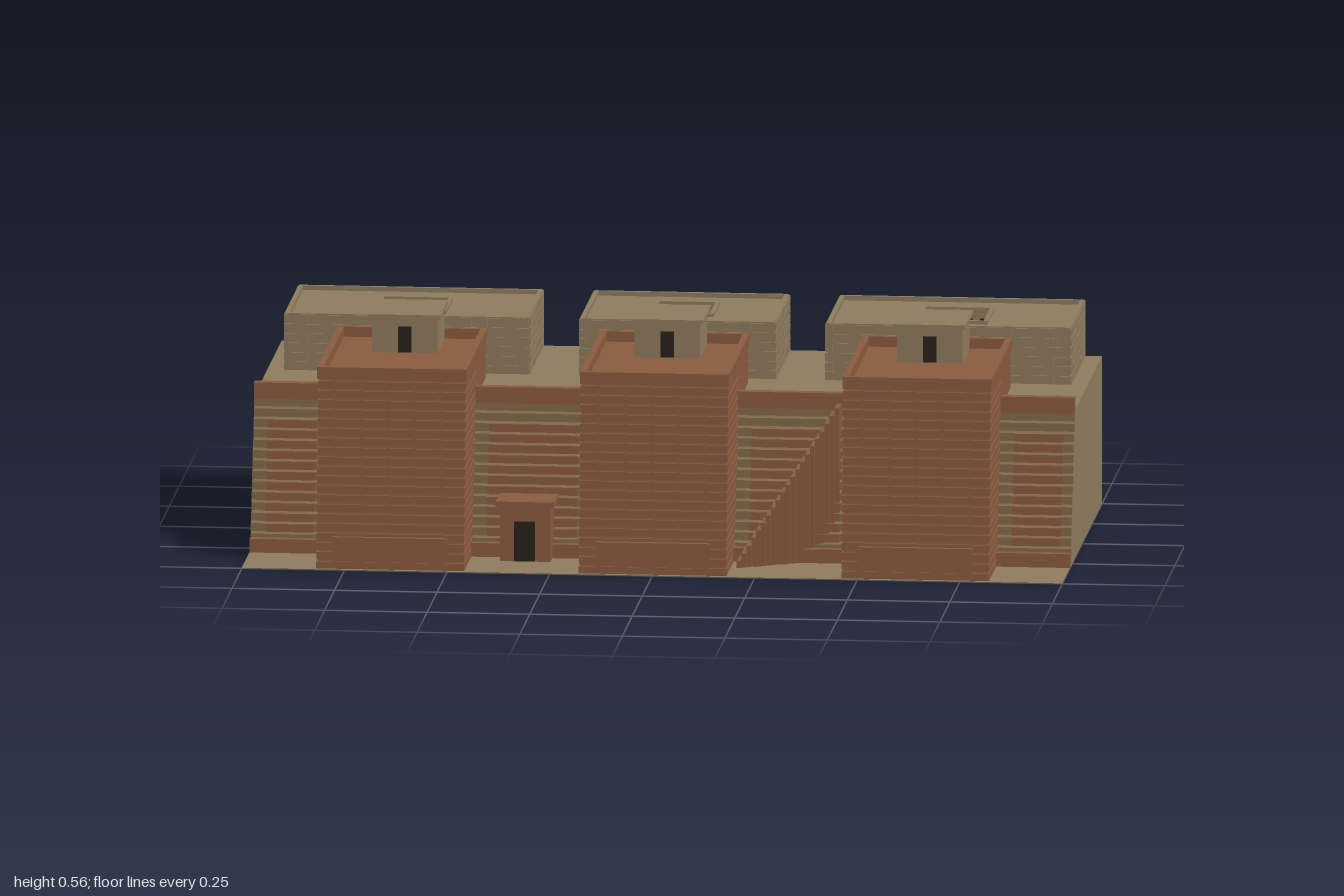
import * as THREE from 'three';
import { mergeGeometries } from 'three/addons/utils/BufferGeometryUtils.js';

const BROWN = 0x8a5b3f, TAN = 0x8e7b5e, MUD = 0x86694a, DARK = 0x2a2119;
const TERRACE = 0.365;
const TOWER_X = [-0.64, 0, 0.64];
const slopeZ = (y) => 0.29 - 0.11 * y / TERRACE;   // hillside front
const towerZ = (y) => 0.49 - 0.05 * y / 0.46;      // battered tower front

function mesh(name, geometry, color, double = false) {
  const material = new THREE.MeshStandardMaterial({ color });
  if (double) material.side = THREE.DoubleSide;
  const m = new THREE.Mesh(geometry, material);
  m.name = name;
  return m;
}

// One mesh from many [x0, x1, y0, y1, z0, z1] boxes
function boxes(name, color, list) {
  return mesh(name, mergeGeometries(list.map(([x0, x1, y0, y1, z0, z1]) =>
    new THREE.BoxGeometry(x1 - x0, y1 - y0, z1 - z0)
      .translate((x0 + x1) / 2, (y0 + y1) / 2, (z0 + z1) / 2))), color);
}

// Box without a floor whose front leans back from zBottom to zTop
function leaningShell(name, color, x0, x1, h, back, zBottom, zTop) {
  const g = new THREE.BoxGeometry(x1 - x0, h, 1).translate((x0 + x1) / 2, h / 2, 0);
  const p = g.attributes.position;
  for (let i = 0; i < p.count; i++)
    p.setZ(i, p.getZ(i) < 0 ? back : p.getY(i) > h / 2 ? zTop : zBottom);
  const index = Array.from(g.index.array);
  index.splice(18, 6);
  g.setIndex(index);
  g.clearGroups();
  g.computeVertexNormals();
  return mesh(name, g, color, true);
}

// Four walls around a rectangle
function ring(x0, x1, y0, y1, z0, z1, t) {
  return [[x0, x1, y0, y1, z0, z0 + t], [x0, x1, y0, y1, z1 - t, z1],
    [x0, x0 + t, y0, y1, z0 + t, z1 - t], [x1 - t, x1, y0, y1, z0 + t, z1 - t]];
}

function createTower() {
  const g = new THREE.Group();
  g.name = 'tower';
  g.add(leaningShell('towerBody', BROWN, -0.177, 0.177, 0.465, -0.08, 0.485, 0.435));
  // Log courses on the front and on the sides ahead of the hillside
  const n = 20, pitch = 0.46 / n, courses = [];
  for (let i = 0; i < n; i++) {
    const y0 = i * pitch, y1 = y0 + pitch * 0.8, f = towerZ(y0 + pitch / 2), b = slopeZ(y0);
    courses.push([-0.18, 0.18, y0, y1, f - 0.012, f]);
    for (const s of [-1, 1])
      courses.push([Math.min(s * 0.176, s * 0.18), Math.max(s * 0.176, s * 0.18), y0, y1, b, f - 0.012]);
  }
  g.add(boxes('logCourses', BROWN, courses));
  g.add(boxes('towerParapet', BROWN, ring(-0.182, 0.182, 0.46, 0.49, -0.08, 0.442, 0.016)));
  g.add(boxes('basePanel', BROWN, [[-0.14, 0.14, 0.02, 0.08, 0.475, 0.494]]));
  // Small house on the roof
  g.add(boxes('roofHouse', TAN, [[-0.08, 0.08, 0.46, 0.55, -0.058, 0.12]]));
  g.add(boxes('roofHouseSlab', TAN, [[-0.088, 0.088, 0.55, 0.56, -0.066, 0.128]]));
  g.add(boxes('roofHouseDoor', DARK, [[-0.016, 0.016, 0.466, 0.53, 0.118, 0.124]]));
  return g;
}

function createCourtHouse(cx, halfWidth, courtZ, courtHalf, doorX) {
  const g = new THREE.Group();
  g.name = 'courtHouse';
  const x0 = cx - halfWidth, x1 = cx + halfWidth, z0 = -0.5, z1 = -0.14, e = 0.003;
  g.add(boxes('houseWalls', TAN, ring(x0 + e, x1 - e, TERRACE, 0.505, z0 + e, z1 - e, 0.01)));

  // Staggered brick facing
  const rows = 6, rowH = 0.14 / rows, bricks = [];
  for (let r = 0; r < rows; r++) {
    const y0 = TERRACE + r * rowH, y1 = y0 + rowH - 0.003;
    const run = (a, b, add) => {
      const n = Math.round((b - a) / 0.04), w = (b - a) / n;
      for (let i = 0; i <= n; i++) {
        const s = Math.max(a, a + (i - (r % 2) / 2) * w), t = Math.min(b, a + (i + 1 - (r % 2) / 2) * w);
        if (t - s > 0.005) add(s, t - 0.003);
      }
    };
    run(x0, x1, (s, t) => bricks.push([s, t, y0, y1, z0, z0 + 0.005], [s, t, y0, y1, z1 - 0.005, z1]));
    run(z0, z1, (s, t) => bricks.push([x0, x0 + 0.005, y0, y1, s, t], [x1 - 0.005, x1, y0, y1, s, t]));
  }
  g.add(boxes('bricks', TAN, bricks));

  // Roof with a square light court
  const rect = (Type, a, b, c, d) => {
    const s = new Type();
    s.moveTo(a, c); s.lineTo(b, c); s.lineTo(b, d); s.lineTo(a, d); s.closePath();
    return s;
  };
  const h = courtHalf - 0.01;
  const roof = rect(THREE.Shape, x0 + 0.008, x1 - 0.008, -z1 + 0.008, -z0 - 0.008);
  roof.holes.push(rect(THREE.Path, cx - h, cx + h, -courtZ - h, -courtZ + h));
  g.add(mesh('roof', new THREE.ExtrudeGeometry(roof, { depth: 0.062, bevelEnabled: false })
    .rotateX(-Math.PI / 2).translate(0, 0.432, 0), TAN));
  g.add(boxes('courtRim', TAN,
    ring(cx - courtHalf, cx + courtHalf, 0.49, 0.502, courtZ - courtHalf, courtZ + courtHalf, 0.01)));
  g.add(boxes('courtFloor', BROWN, [[cx - h, cx + h, 0.43, 0.44, courtZ - h, courtZ + h]]));
  const openings = [];
  for (let i = -2; i <= 2; i++) {
    const o = i * h * 0.38, w = 0.005;
    for (const s of [-1, 1]) {
      const d = s * (h - 0.001);
      openings.push([cx + o - w, cx + o + w, 0.455, 0.475, courtZ + d - 0.003, courtZ + d + 0.003],
        [cx + d - 0.003, cx + d + 0.003, 0.455, 0.475, courtZ + o - w, courtZ + o + w]);
    }
  }
  g.add(boxes('courtOpenings', DARK, openings));
  g.add(boxes('houseDoor', DARK, [[doorX - 0.018, doorX + 0.018, TERRACE, 0.44, -0.145, -0.136]]));
  return g;
}

export function createModel() {
  const model = new THREE.Group();
  model.name = 'terracedSettlement';

  // Raised ground with a sloping front, and the street before it
  model.add(leaningShell('terrace', TAN, -1, 1, TERRACE, -0.5, 0.29, 0.18));
  model.add(mesh('street', new THREE.PlaneGeometry(2, 0.21).rotateX(-Math.PI / 2)
    .translate(0, 0.001, 0.395), TAN, true));

  for (const x of TOWER_X) {
    const tower = createTower();
    tower.position.x = x;
    model.add(tower);
  }

  // Stepped retaining wall in the bays between towers
  const wall = [], panels = [], trim = [], n = 15, pitch = TERRACE / n;
  for (const [a, b] of [[-1, -0.82], [-0.46, -0.18], [0.18, 0.46], [0.82, 1]]) {
    for (let i = 0; i < n; i++) {
      const y0 = i * pitch, y1 = y0 + pitch * 0.8, z = slopeZ(y0 + pitch / 2);
      wall.push([a, b, y0, y1, z - 0.006, z + 0.008]);
      if (i >= 2 && i < 13) panels.push([a + 0.035, b - 0.025, y0, y1, z, z + 0.014]);
    }
    trim.push([a, b, 0, 0.035, 0.275, 0.308], [a, b, 0.36, 0.4, 0.174, 0.198]);
  }
  model.add(boxes('retainingWall', MUD, wall));
  model.add(boxes('wallPanels', BROWN, panels));
  model.add(boxes('wallPlinthAndParapet', BROWN, trim));

  // Gatehouse
  const gate = new THREE.Group();
  gate.name = 'gatehouse';
  gate.add(boxes('gateBody', BROWN, [[-0.385, -0.262, 0, 0.138, 0.2, 0.355]]));
  gate.add(boxes('gateRoof', BROWN, [[-0.395, -0.252, 0.136, 0.15, 0.24, 0.365]]));
  gate.add(boxes('gateDoor', DARK, [[-0.35, -0.3, 0.002, 0.1, 0.35, 0.359]]));
  model.add(gate);

  // Staircase climbing diagonally to the terrace
  const steps = [], count = 21;
  for (let i = 0; i < count; i++) {
    const t = i / (count - 1), x = 0.195 + i * 0.0113, z = 0.315 - 0.125 * t;
    steps.push([x, x + 0.0113, 0, 0.018 + 0.357 * t, z, z + 0.07]);
  }
  model.add(boxes('staircase', BROWN, steps));

  // Houses along the back
  model.add(createCourtHouse(-0.66, 0.3, -0.308, 0.088, -0.565));
  model.add(createCourtHouse(0, 0.24, -0.325, 0.078, 0.1));
  model.add(createCourtHouse(0.66, 0.3, -0.308, 0.088, 0.69));
  return model;
}
